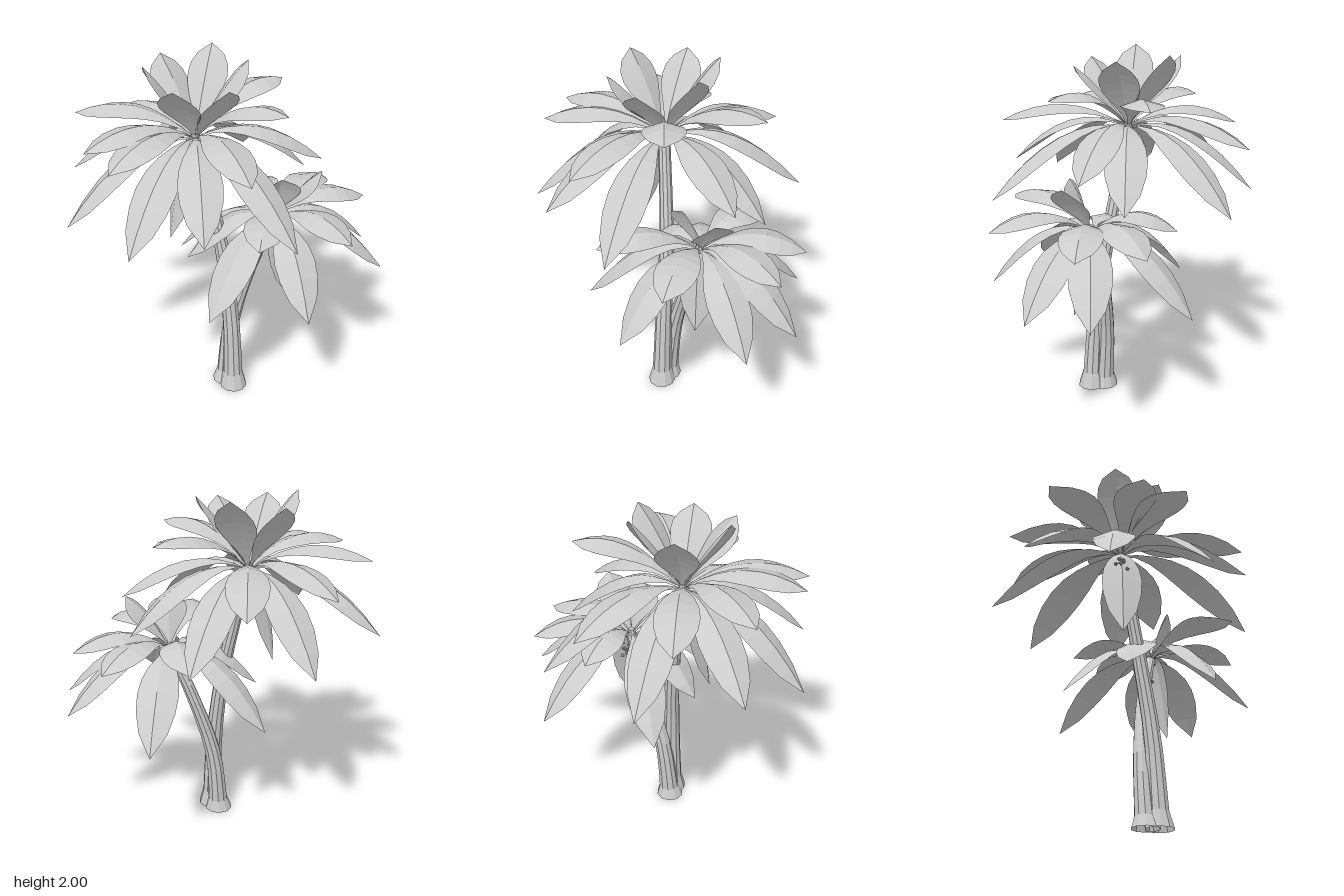
import * as THREE from 'three';

const palmGrey = new THREE.MeshStandardMaterial({ color: 0xcccccc, side: THREE.DoubleSide, flatShading: true });
palmGrey.name = 'palm grey';

const V = (a) => new THREE.Vector3(...a);

function meshFrom(positions, index, name) {
  const g = new THREE.BufferGeometry();
  g.setAttribute('position', new THREE.Float32BufferAttribute(positions, 3));
  g.setIndex(index);
  const flat = g.toNonIndexed();
  flat.computeVertexNormals();
  const m = new THREE.Mesh(flat, palmGrey);
  m.name = name;
  return m;
}

// Trunk: open skin over horizontal rings, flared at the foot
function trunk(points, name) {
  const curve = new THREE.CatmullRomCurve3(points.map(V));
  const rows = 10, sides = 10, pos = [], idx = [];
  for (let i = 0; i <= rows; i++) {
    const t = i === 0 ? 0 : 0.06 + 0.94 * (i - 1) / (rows - 1);
    const p = curve.getPointAt(t);
    const r = i === 0 ? 0.081 : 0.064 - 0.031 * Math.pow(t, 0.6);
    for (let j = 0; j < sides; j++) {
      const a = j / sides * Math.PI * 2;
      pos.push(p.x + r * Math.cos(a), p.y, p.z + r * Math.sin(a));
      if (i === rows) continue;
      const k = (j + 1) % sides, b = i * sides, u = b + sides;
      idx.push(b + j, u + j, b + k, b + k, u + j, u + k);
    }
  }
  return meshFrom(pos, idx, name);
}

// Frond: arched blade, blunt at the end, folded along a raised midrib
const WIDTHS = [0.06, 0.16, 0.4, 0.68, 0.9, 1, 0.94, 0.68, 0];
function frond(base, tip, bulge, halfWidth, name) {
  const mid = base.clone().lerp(tip, 0.5);
  mid.y += bulge;
  const curve = new THREE.QuadraticBezierCurve3(base, mid, tip);
  const dir = tip.clone().sub(base).setY(0).normalize();
  const side = new THREE.Vector3(0, 1, 0).cross(dir);
  const pos = [], idx = [], n = WIDTHS.length - 1;
  for (let i = 0; i <= n; i++) {
    const p = curve.getPoint(i / n);
    const up = curve.getTangent(i / n).cross(side);
    const w = WIDTHS[i] * halfWidth;
    for (const s of [-1, 0, 1]) {
      const q = p.clone().addScaledVector(side, s * w);
      if (s) q.addScaledVector(up, -0.3 * w);
      pos.push(q.x, q.y, q.z);
    }
    if (i === n) continue;
    const l = i * 3, m = l + 1, r = l + 2;
    idx.push(m, m + 3, r, r, m + 3, r + 3, m, l, m + 3, l, l + 3, m + 3);
  }
  return meshFrom(pos, idx, name);
}

// Hanging fruit bunch: a stalk with small nuts
function fruitBunch(top, end) {
  const g = new THREE.Group();
  g.name = 'fruitBunch';
  const mid = top.clone().lerp(end, 0.5).add(new THREE.Vector3(0, 0.05, 0));
  const stalk = new THREE.Mesh(
    new THREE.TubeGeometry(new THREE.QuadraticBezierCurve3(top, mid, end), 4, 0.005, 5), palmGrey);
  stalk.name = 'stalk';
  g.add(stalk);
  const ball = new THREE.IcosahedronGeometry(0.012, 0);
  for (let i = 0; i < 9; i++) {
    const nut = new THREE.Mesh(ball, palmGrey);
    const a = i * 2.4, r = 0.015 + 0.003 * i;
    nut.position.set(end.x + r * Math.cos(a), end.y + 0.035 - 0.008 * i, end.z + r * Math.sin(a));
    nut.name = 'nut';
    g.add(nut);
  }
  return g;
}

function palm({ name, path, crown, droop, upright, fruit }) {
  const g = new THREE.Group();
  g.name = name;
  const c = V(crown);
  g.add(trunk(path, 'trunk'));
  // Crown heart closing the trunk top
  const heart = new THREE.Mesh(new THREE.CylinderGeometry(0.018, 0.034, 0.07, 8), palmGrey);
  heart.position.copy(c);
  heart.name = 'crownHeart';
  g.add(heart);
  // The lower a frond hangs, the stronger its arch
  for (const t of droop) {
    const arch = 0.22 + 0.22 * Math.max(0, c.y - t[1]);
    g.add(frond(c, V(t), arch, 0.114, 'droopingFrond'));
  }
  upright.forEach((t) => g.add(frond(c, V(t), 0.07, 0.112, 'uprightFrond')));
  fruit.forEach((f) => g.add(fruitBunch(c, V(f))));
  return g;
}

export function createModel() {
  const model = new THREE.Group();
  model.name = 'twinPalms';
  model.add(palm({
    name: 'tallPalm',
    path: [[0.162, 0, 0.055], [0.13, 0.5, 0.05], [0.05, 0.98, 0.06], [-0.08, 1.57, 0.12]],
    crown: [-0.08, 1.57, 0.12],
    droop: [
      [-0.78, 1.19, -0.05], [-0.74, 1.55, 0.13], [-0.73, 1.28, 0.48], [-0.62, 1.66, 0.51],
      [-0.37, 1.15, 0.78], [-0.18, 1.64, 0.76], [0.05, 1.61, 0.78], [0.19, 1.2, 0.79],
      [0.49, 1.31, 0.56], [0.59, 1.6, 0.35], [0.7, 1.2, 0.13], [0.41, 1.78, -0.08],
      [0.34, 1.42, -0.43], [0.13, 1.27, -0.53], [-0.02, 1.78, -0.47],
      [-0.43, 1.22, -0.57], [-0.61, 1.52, -0.36], [-0.12, 1.0, 0.28],
    ],
    upright: [
      [-0.38, 1.96, 0.1], [-0.23, 2.0, -0.14], [0.06, 1.98, -0.13],
      [0.22, 1.92, 0.15], [-0.2, 1.99, 0.36], [0.06, 1.93, 0.38],
    ],
    fruit: [[-0.11, 1.46, 0.2]],
  }));
  model.add(palm({
    name: 'shortPalm',
    path: [[0.088, 0, 0.045], [0.085, 0.4, 0.0], [0.14, 0.8, -0.11], [0.22, 1.09, -0.2]],
    crown: [0.22, 1.09, -0.2],
    droop: [
      [0.77, 1.14, -0.21], [0.73, 0.75, 0.05], [0.55, 1.19, 0.25], [0.35, 0.73, 0.41],
      [-0.07, 0.86, 0.2], [-0.37, 0.72, 0.0], [-0.2, 1.12, -0.4], [-0.2, 0.72, -0.66],
      [0.08, 1.12, -0.75], [0.38, 0.79, -0.8], [0.43, 1.13, -0.71], [0.67, 0.79, -0.62],
      [0.33, 0.61, -0.22],
    ],
    upright: [[0.41, 1.39, -0.36], [0.32, 1.38, -0.14]],
    fruit: [[0.24, 0.99, -0.28], [0.2, 0.98, -0.22]],
  }));
  return model;
}
